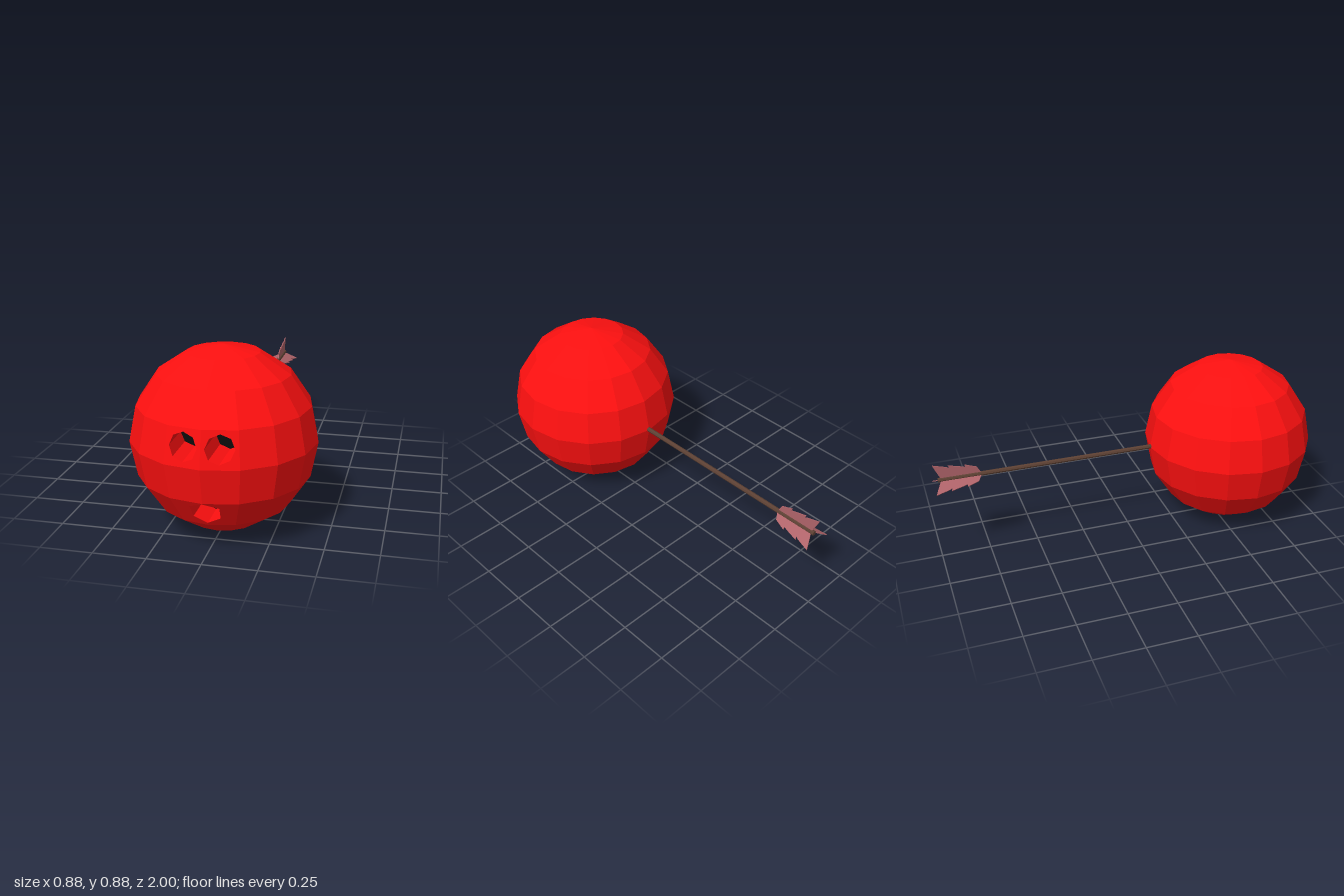
import * as THREE from 'three';

const R = 0.4375;
const CENTER = new THREE.Vector3(0, R, 1 - R);

const paint = (color, side = THREE.FrontSide) =>
  new THREE.MeshStandardMaterial({ color, side, flatShading: true });

function addMesh(parent, name, geometry, material) {
  const mesh = new THREE.Mesh(geometry, material);
  mesh.name = name;
  parent.add(mesh);
  return mesh;
}

function fromTriangles(points) {
  const geometry = new THREE.BufferGeometry().setFromPoints(points);
  geometry.computeVertexNormals();
  return geometry;
}

// Signed side of p relative to the line a-b in the xy plane (positive = left)
const sideOf = (p, a, b) => (b.x - a.x) * (p.y - a.y) - (b.y - a.y) * (p.x - a.x);

// Split a convex polygon by the line a-b into [left, right]
function split(poly, a, b) {
  const left = [], right = [];
  poly.forEach((p, i) => {
    const q = poly[(i + 1) % poly.length];
    const sp = sideOf(p, a, b), sq = sideOf(q, a, b);
    if (sp >= -1e-9) left.push(p);
    if (sp <= 1e-9) right.push(p);
    if ((sp > 1e-9 && sq < -1e-9) || (sp < -1e-9 && sq > 1e-9)) {
      const m = p.clone().lerp(q, sp / (sp - sq));
      left.push(m);
      right.push(m);
    }
  });
  return [left, right];
}

function pushFan(out, poly) {
  for (let i = 1; i < poly.length - 1; i++) out.push(poly[0], poly[i], poly[i + 1]);
}

// Faceted ball with straight sockets sunk into its front
function buildBall(holes) {
  const skin = [];
  const floors = holes.map(() => []);
  const pos = new THREE.SphereGeometry(R, 16, 8).toNonIndexed().attributes.position;
  for (let i = 0; i < pos.count; i += 3) {
    const tri = [0, 1, 2].map((k) => new THREE.Vector3().fromBufferAttribute(pos, i + k));
    let pieces = [tri];
    if (tri.every((p) => p.z > 0.15)) {
      holes.forEach(({ outline, floorZ }, h) => {
        const kept = [];
        for (const piece of pieces) {
          let inside = piece;
          const outside = [];
          outline.forEach((a, e) => {
            if (inside.length < 3) return;
            const [l, r] = split(inside, a, outline[(e + 1) % outline.length]);
            if (r.length > 2) outside.push(r);
            inside = l;
          });
          if (inside.length < 3) {
            kept.push(piece);
            continue;
          }
          kept.push(...outside);
          const sunk = inside.map((p) => new THREE.Vector3(p.x, p.y, floorZ));
          pushFan(floors[h], sunk);
          // Socket walls along the outline
          inside.forEach((p, j) => {
            const n = (j + 1) % inside.length, q = inside[n];
            const onRim = outline.some((a, e) => {
              const b = outline[(e + 1) % outline.length];
              return Math.abs(sideOf(p, a, b)) < 1e-7 && Math.abs(sideOf(q, a, b)) < 1e-7;
            });
            if (onRim) skin.push(p, q, sunk[n], p, sunk[n], sunk[j]);
          });
        }
        pieces = kept;
      });
    }
    pieces.forEach((piece) => pushFan(skin, piece));
  }
  return { skin, floors };
}

export function createModel() {
  const model = new THREE.Group();
  model.name = 'ballWithArrow';
  const red = paint(0xff1010), black = paint(0x0c0c0c);
  const wood = paint(0x5c4033), feather = paint(0xb0646a, THREE.DoubleSide);

  // Eye and mouth outlines, counter-clockwise, relative to the ball centre
  const eye = (x) => Array.from({ length: 8 }, (_, i) => new THREE.Vector2(
    x + 0.064 * Math.cos((i * Math.PI) / 4), 0.086 + 0.064 * Math.sin((i * Math.PI) / 4)));
  const mouth = [[0, 0.267], [-0.067, 0.239], [-0.061, 0.174], [0, 0.142], [0.061, 0.174], [0.067, 0.239]]
    .map(([x, y]) => new THREE.Vector2(x, y - R));
  const holes = [
    { name: 'leftEyeFloor', outline: eye(0.08), floorZ: 0.22 },
    { name: 'rightEyeFloor', outline: eye(-0.08), floorZ: 0.22 },
    { name: 'mouthFloor', outline: mouth, floorZ: 0.17 },
  ];

  const head = new THREE.Group();
  head.name = 'head';
  head.position.copy(CENTER);
  model.add(head);
  const { skin, floors } = buildBall(holes);
  addMesh(head, 'ball', fromTriangles(skin), red);
  holes.forEach((hole, i) => addMesh(head, hole.name, fromTriangles(floors[i]), black));

  // Arrow stuck in the back
  const arrow = new THREE.Group();
  arrow.name = 'arrow';
  arrow.position.y = CENTER.y + 0.004;
  model.add(arrow);
  const front = 0.2, back = -0.98;
  const shaft = new THREE.CylinderGeometry(0.012, 0.012, front - back, 8).rotateX(Math.PI / 2);
  addMesh(arrow, 'shaft', shaft, wood).position.z = (front + back) / 2;

  // Three ragged feathers; x runs backwards along the shaft, y outwards
  const vane = new THREE.Shape([
    [0.765, 0.006], [0.785, 0.042], [0.845, 0.064], [0.842, 0.05], [0.86, 0.056],
    [0.925, 0.073], [0.918, 0.058], [0.935, 0.066], [1, 0.085], [0.985, 0.05], [0.965, 0.006],
  ].map(([x, y]) => new THREE.Vector2(x, y)));
  const vaneGeometry = new THREE.ExtrudeGeometry(vane, { depth: 0.005, bevelEnabled: false })
    .translate(0, 0, -0.0025).rotateY(Math.PI / 2);
  for (let i = 0; i < 3; i++) {
    addMesh(arrow, 'feather' + (i + 1), vaneGeometry, feather).rotation.z = (i * Math.PI * 2) / 3;
  }
  return model;
}
